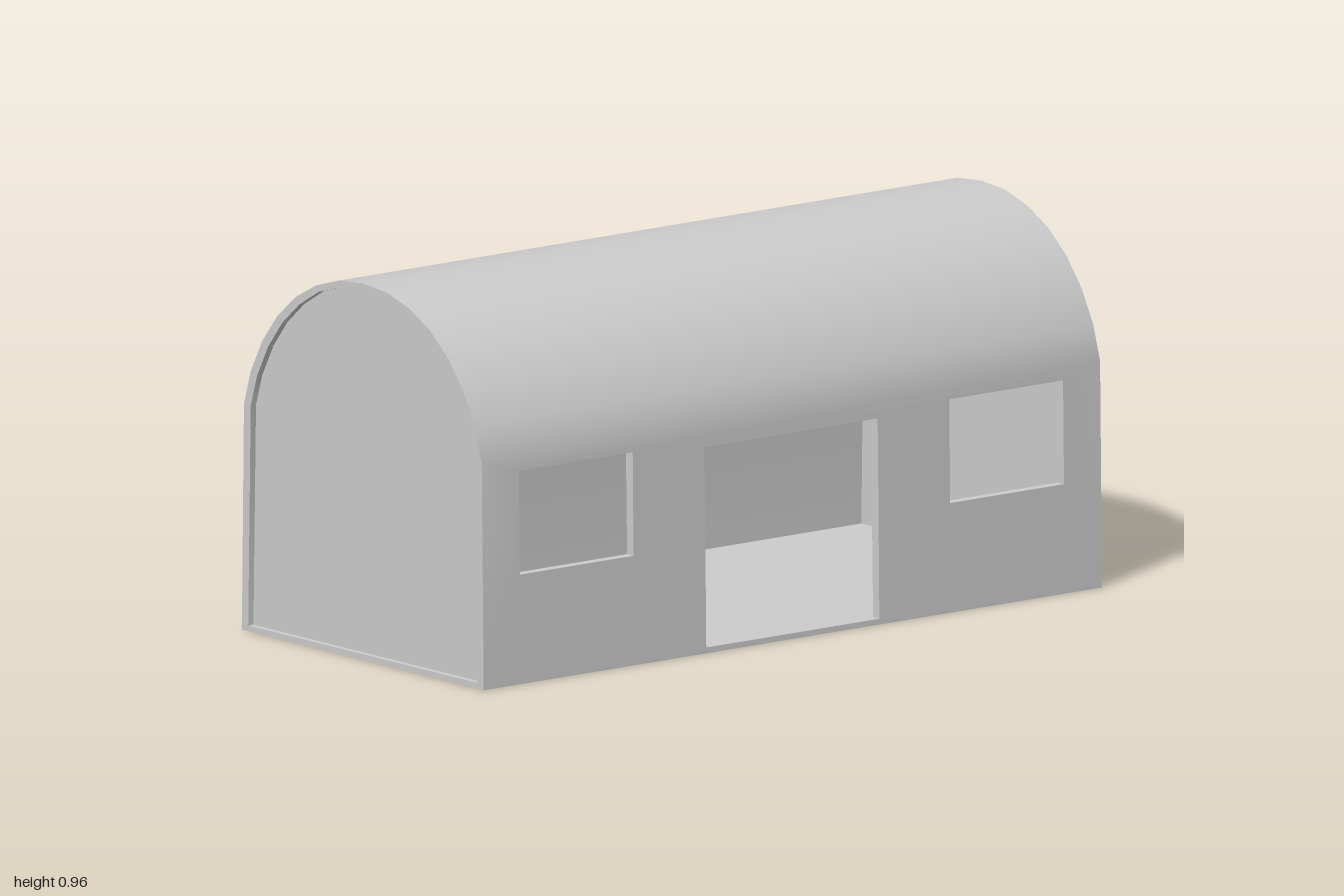
import * as THREE from 'three';
import { mergeGeometries, toCreasedNormals } from 'three/addons/utils/BufferGeometryUtils.js';

// Half profiles as [z, y], from the foot of the wall to the crown
const OUTER = [[0.48, 0], [0.472, 0.58], [0.445, 0.668], [0.4, 0.752], [0.34, 0.826],
  [0.267, 0.887], [0.185, 0.93], [0.095, 0.957], [0, 0.965]];
const INNER = [[0.455, 0.015], [0.445, 0.58], [0.42, 0.66], [0.376, 0.742], [0.32, 0.812],
  [0.252, 0.87], [0.175, 0.915], [0.09, 0.939], [0, 0.947]];

// Front foot -> crown -> back foot; shape x is -z
function fullProfile(half) {
  const front = half.map(([z, y]) => new THREE.Vector2(-z, y));
  const back = half.slice(0, -1).reverse().map(([z, y]) => new THREE.Vector2(z, y));
  return [...front, ...back];
}

function rectangle(Type, x0, x1, y0, y1) {
  return new Type([[x0, y0], [x1, y0], [x1, y1], [x0, y1]].map(([x, y]) => new THREE.Vector2(x, y)));
}

// Roof, back wall and floor as one extrusion along x
function vaultGeometry() {
  const outline = [
    ...fullProfile(OUTER).slice(1),
    new THREE.Vector2(-INNER[0][0], 0),
    new THREE.Vector2(-INNER[0][0], INNER[0][1]),
    ...fullProfile(INNER).slice(1).reverse(),
  ];
  return new THREE.ExtrudeGeometry(new THREE.Shape(outline), { depth: 2, bevelEnabled: false })
    .rotateY(Math.PI / 2).translate(-1, 0, 0);
}

// Front wall with a doorway and two windows, leaned to follow the profile
function frontWallGeometry() {
  const top = OUTER[1][1];
  const wall = rectangle(THREE.Shape, -1, 1, 0, top);
  wall.holes.push(
    rectangle(THREE.Path, -0.28, 0.28, 0.015, 0.527),
    rectangle(THREE.Path, -0.88, -0.512, 0.28, 0.545),
    rectangle(THREE.Path, 0.512, 0.88, 0.28, 0.545),
  );
  const geometry = new THREE.ExtrudeGeometry(wall, { depth: 1, bevelEnabled: false });
  const p = geometry.attributes.position;
  for (let i = 0; i < p.count; i++) {
    const side = p.getZ(i) > 0.5 ? OUTER : INNER;
    p.setZ(i, THREE.MathUtils.lerp(side[0][0], side[1][0], p.getY(i) / top));
  }
  return geometry;
}

export function createModel() {
  const group = new THREE.Group();
  const material = new THREE.MeshStandardMaterial({ color: 0xcccccc });
  const thin = new THREE.MeshStandardMaterial({ color: 0xcccccc, side: THREE.DoubleSide });

  // Joined so that the front wall shades smoothly into the roof
  const shell = new THREE.Mesh(
    toCreasedNormals(mergeGeometries([vaultGeometry(), frontWallGeometry()]), 0.5), material);
  shell.name = 'shell';
  group.add(shell);

  // Thin end panels set just inside the rim
  const panel = new THREE.ShapeGeometry(new THREE.Shape(fullProfile(INNER))).rotateY(Math.PI / 2);
  for (const [name, x] of [['leftEndPanel', 0.983], ['rightEndPanel', -0.983]]) {
    const end = new THREE.Mesh(panel, thin);
    end.name = name;
    end.position.x = x;
    group.add(end);
  }
  return group;
}
